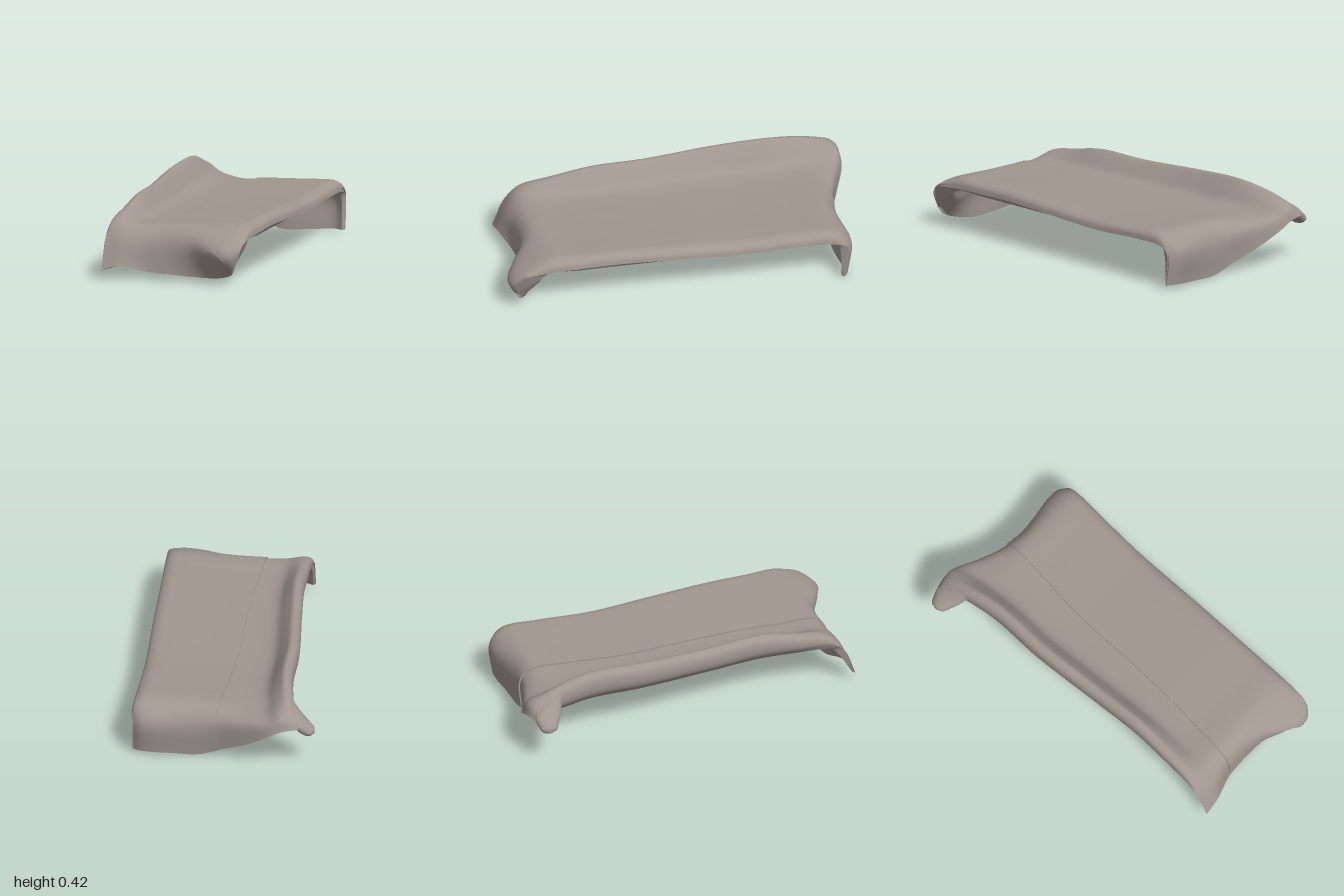
import * as THREE from 'three';
import { mergeGeometries } from 'three/addons/utils/BufferGeometryUtils.js';

const V = (x, y, z) => new THREE.Vector3(x, y, z);
const { lerp, clamp } = THREE.MathUtils;

// Smooth lookup in a table of [key, value, value...] rows with rising keys
function look(table, k, c = 1) {
  const last = table.length - 1;
  if (k <= table[0][0]) return table[0][c];
  if (k >= table[last][0]) return table[last][c];
  const i = table.findIndex(r => k <= r[0]), a = table[i - 1], b = table[i];
  const slope = j => {
    const p = table[Math.max(j - 1, 0)], q = table[Math.min(j + 1, last)];
    return (q[c] - p[c]) / (q[0] - p[0]);
  };
  const h = b[0] - a[0], t = (k - a[0]) / h, s = t * t * (3 - 2 * t);
  return lerp(a[c], b[c], s) + h * t * (1 - t) * ((1 - t) * slope(i - 1) - t * slope(i));
}

// Left edge, right edge and ridge height along z
const EDGES = [
  [-1, -0.425, 0.49, 0.03], [-0.8, -0.39, 0.495, 0.1], [-0.6, -0.372, 0.482, 0.132],
  [-0.3, -0.378, 0.468, 0.122], [0.1, -0.355, 0.462, 0.105], [0.4, -0.342, 0.455, 0.107],
  [0.6, -0.345, 0.452, 0.07], [0.8, -0.35, 0.45, 0.02], [1, -0.35, 0.445, 0],
];
// Cross-section: fraction of width, base height, share of the ridge, tuck under the ridge
const COLS = [
  [0.006, 0.238, 0, 0.5], [0, 0.268, 0.25, 0.12], [0.018, 0.285, 0.8, 0], [0.065, 0.287, 1, 0],
  [0.115, 0.287, 0.65, 0], [0.18, 0.285, 0.12, 0], [0.3, 0.282, 0, 0], [0.45, 0.282, 0, 0],
  [0.6, 0.284, 0, 0], [0.75, 0.288, 0, 0], [0.88, 0.292, 0, 0], [0.95, 0.29, 0, 0],
  [0.99, 0.27, 0, 0], [1, 0.238, 0, 0],
];
// Hanging ends: fraction of width, bend z and y, hem z and y, hem sideways shift
const FRONT = [
  [0, 0.87, 0.22, 0.94, 0.055, 0], [0.13, 0.88, 0.22, 0.93, 0.08, 0], [0.31, 0.86, 0.22, 0.88, 0.045, 0],
  [0.5, 0.86, 0.22, 0.87, 0.035, 0], [0.69, 0.91, 0.21, 0.875, 0.028, 0], [0.81, 0.985, 0.19, 0.89, 0.033, 0],
  [0.94, 0.99, 0.18, 0.94, 0.06, -0.015], [1, 0.94, 0.22, 0.965, 0.1, -0.035],
];
const BACK = [
  [0, -0.95, 0.3, -0.98, 0.26, 0], [0.1, -0.97, 0.32, -0.995, 0.25, 0], [0.2, -0.96, 0.27, -0.985, 0.2, 0],
  [0.3, -0.92, 0.25, -0.935, 0.13, 0], [0.44, -0.88, 0.23, -0.875, 0.06, 0], [0.52, -0.86, 0.21, -0.855, 0.012, 0],
  [0.75, -0.87, 0.21, -0.855, 0.008, 0], [0.93, -0.885, 0.21, -0.865, 0.018, 0], [1, -0.85, 0.2, -0.84, 0.018, 0],
];
const DECK = [0.8, 0.6, 0.4, 0.1, -0.3, -0.6, -0.8];
const SWELL = [[-0.8, -0.004], [-0.6, 0], [-0.3, -0.014], [0.1, 0.002], [0.4, 0.014], [0.8, 0.006]];
const NV = DECK.length + 3, NU = COLS.length - 1;

// One lengthwise strand of the cloth, from front hem to back hem
function strand([f, base, share, tuck], inner) {
  const g = inner ? 0.015 + f * 0.97 : f;
  const x = z => lerp(look(EDGES, z, 1), look(EDGES, z, 2), g);
  const end = (t, s) => {
    const dz = inner ? 0.014 * s : 0;
    const mz = look(t, f, 1), hz = look(t, f, 3);
    // the lining stays upright behind the bulging front corner
    const bend = inner ? Math.min(mz - dz * 2, 0.838) : mz;
    return [
      V(x(mz), look(t, f, 2) - (inner ? 0.02 : 0), bend),
      V(x(hz) + look(t, f, 5), look(t, f, 4), hz - dz),
    ];
  };
  const [fm, fh] = end(FRONT, 1), [bm, bh] = end(BACK, -1);
  const deck = DECK.map(z => {
    const ridge = look(EDGES, z, 3);
    return V(x(z) + ridge * (inner ? 0.5 * (1 - g) : tuck),
      inner ? 0.234 : base + share * ridge + f * look(SWELL, z), z);
  });
  return new THREE.CatmullRomCurve3([fh, fm, ...deck, bm, bh]);
}

const outerStrands = COLS.map(c => strand(c, false));
const innerStrands = COLS.map(c => strand(c, true));

// Point on the cloth: u counts columns across, v counts bends along
const at = (strands, u, v) => new THREE.CatmullRomCurve3(strands.map(s => s.getPoint(v / NV))).getPoint(u / NU);

function grid(rows, cols, fn) {
  return Array.from({ length: rows + 1 }, (_, i) =>
    Array.from({ length: cols + 1 }, (_, j) => fn(j / cols, i / rows)));
}

function sheet(g, flip = false) {
  const n = g[0].length, index = [];
  for (let i = 0; i < g.length - 1; i++) for (let j = 0; j < n - 1; j++) {
    const a = i * n + j, b = a + 1, c = a + n, d = c + 1;
    index.push(...(flip ? [a, c, b, b, c, d] : [a, b, c, b, d, c]));
  }
  const geo = new THREE.BufferGeometry().setFromPoints(g.flat());
  geo.setIndex(index);
  geo.computeVertexNormals();
  return geo;
}

// Two matching sheets joined by a rim
function shell(outer, inner) {
  const ring = g => [
    ...g[0], ...g.slice(1).map(r => r[r.length - 1]),
    ...g[g.length - 1].slice(0, -1).reverse(), ...g.slice(0, -1).reverse().map(r => r[0]),
  ];
  return mergeGeometries([sheet(outer), sheet(inner, true), sheet([ring(inner), ring(outer)])]);
}

export function createModel() {
  const model = new THREE.Group();
  model.name = 'drapedCloth';
  const cloth = new THREE.MeshStandardMaterial({ color: 0xa0968f, side: THREE.DoubleSide });
  cloth.name = 'greyBeigeCloth';
  const add = (name, geo) => {
    const mesh = new THREE.Mesh(geo, cloth);
    mesh.name = name;
    model.add(mesh);
  };

  // Lower layer with the raised fold along one side and both hanging ends
  add('lowerLayer', shell(
    grid(70, 52, (u, v) => at(outerStrands, u * NU, v * NV)),
    grid(70, 52, (u, v) => at(innerStrands, u * NU, v * NV))));

  // Upper layer lying over it, with a slanted seam and a wavy front hem
  const hem = [[0.3, 0.45], [0.34, 0.31], [0.5, 0.29], [0.65, 0.5], [0.74, 0.82], [0.81, 1], [0.88, 0.8], [0.95, 0.4], [1, 0.3]];
  const columns = COLS.map((c, i) => [i, c[0]]);
  const place = (s, t) => {
    const slant = clamp((t - 0.15) / 0.7, 0, 1) ** 1.2;
    const u = lerp(lerp(6.12, 7.25, slant), 12.5, s);
    return [u, lerp(look(hem, look(columns, u)), NV - 0.02, t)];
  };
  const lifted = h => (s, t) => {
    const [u, v] = place(s, t), e = 0.02;
    const p = at(outerStrands, u, v);
    const du = at(outerStrands, u + e, v).sub(at(outerStrands, u - e, v));
    const dv = at(outerStrands, u, Math.min(v + e, NV)).sub(at(outerStrands, u, v - e));
    return p.addScaledVector(du.cross(dv).normalize(), h);
  };
  add('upperLayer', shell(grid(64, 40, lifted(0.008)), grid(64, 40, lifted(-0.002))));

  // Twisted loose corner: a tapering strip that leaves the ridge and ends in a rounded tail
  const spine = new THREE.CatmullRomCurve3([
    V(-0.355, 0.35, -0.7), V(-0.37, 0.325, -0.83), V(-0.415, 0.275, -0.895), V(-0.465, 0.232, -0.91), V(-0.505, 0.21, -0.915),
  ]);
  const girth = [[0, 0.012, 0.02], [0.25, 0.028, 0.045], [0.5, 0.035, 0.075], [0.75, 0.034, 0.055], [0.92, 0.024, 0.038], [1, 0.001, 0.002]];
  add('cornerTail', sheet(grid(28, 24, (s, t) => {
    const a = s * Math.PI * 2, thick = look(girth, t, 1) * Math.cos(a);
    return spine.getPoint(t).add(V(-0.57 * thick, 0.82 * thick, look(girth, t, 2) * Math.sin(a)));
  })));

  return model;
}
